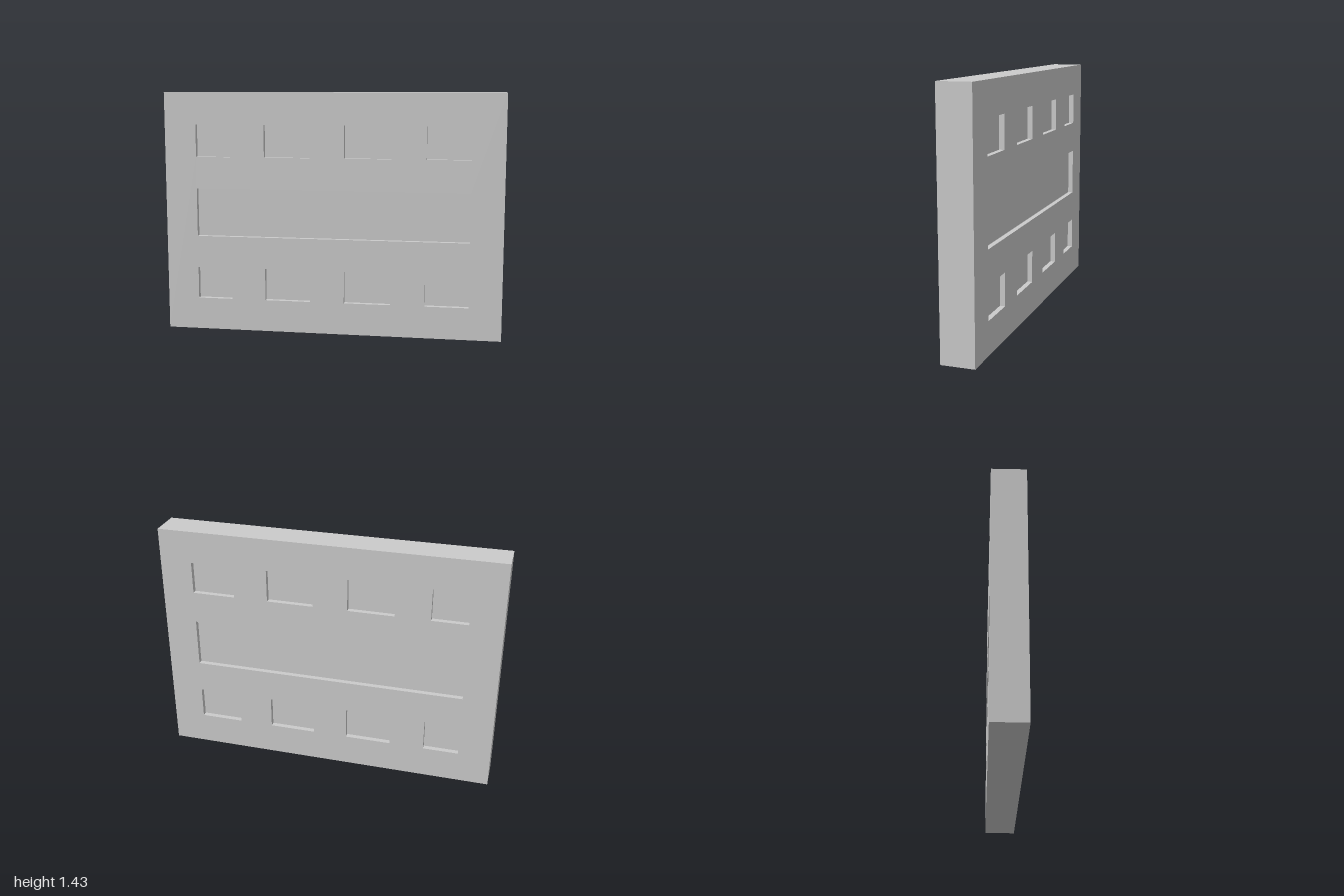
import * as THREE from 'three';

const U = 2 / 21; // layout module
const W = 2, H = 15 * U, T = 2 * U, DEPTH = 0.03;

// Recess openings as [x0, x1, y0, y1]
const columns = [[-0.81, -0.6], [-0.396, -0.123], [0.08, 0.354], [0.556, 0.81]];
const recesses = [[-0.81, 0.81, 6 * U, 9 * U]];
for (const [x0, x1] of columns) {
  for (const y of [2 * U, 11 * U]) recesses.push([x0, x1, y, y + 2 * U]);
}

const material = new THREE.MeshStandardMaterial({ color: 0xcccccc });

function addMesh(parent, name, geometry) {
  const mesh = new THREE.Mesh(geometry, material);
  mesh.name = name;
  parent.add(mesh);
  return mesh;
}

// The four outer edges of the slab, open at front and back
function edgeBand() {
  const g = new THREE.BoxGeometry(W, H, T);
  g.setIndex(Array.from(g.index.array).slice(0, 24));
  g.clearGroups();
  return g.translate(0, H / 2, 0);
}

// Flat face with rectangular openings
function piercedFace(openings) {
  const rect = (Type, x0, x1, y0, y1) => new Type([
    new THREE.Vector2(x0, y0), new THREE.Vector2(x1, y0),
    new THREE.Vector2(x1, y1), new THREE.Vector2(x0, y1),
  ]);
  const shape = rect(THREE.Shape, -W / 2, W / 2, 0, H);
  for (const o of openings) shape.holes.push(rect(THREE.Path, ...o));
  return new THREE.ShapeGeometry(shape).translate(0, 0, T / 2);
}

// Shallow tray facing inwards: a box without its front, turned inside out
function tray([x0, x1, y0, y1]) {
  const g = new THREE.BoxGeometry(x1 - x0, y1 - y0, DEPTH);
  const index = Array.from(g.index.array);
  g.setIndex([...index.slice(0, 24), ...index.slice(30)].reverse());
  g.clearGroups();
  const n = g.attributes.normal;
  for (let i = 0; i < n.count; i++) n.setXYZ(i, -n.getX(i), -n.getY(i), -n.getZ(i));
  return g.translate((x0 + x1) / 2, (y0 + y1) / 2, T / 2 - DEPTH / 2);
}

export function createModel() {
  const model = new THREE.Group();
  model.name = 'recessedWallPanel';
  addMesh(model, 'slabEdges', edgeBand());

  // Front and back carry the same recesses, aligned with each other
  for (const side of ['front', 'back']) {
    const group = new THREE.Group();
    group.name = side + 'Side';
    const openings = side === 'front'
      ? recesses
      : recesses.map(([x0, x1, y0, y1]) => [-x1, -x0, y0, y1]);
    addMesh(group, side + 'Face', piercedFace(openings));
    openings.forEach((o, i) =>
      addMesh(group, side + (i === 0 ? 'LongRecess' : 'SmallRecess' + i), tray(o)));
    if (side === 'back') group.rotation.y = Math.PI;
    model.add(group);
  }
  return model;
}
